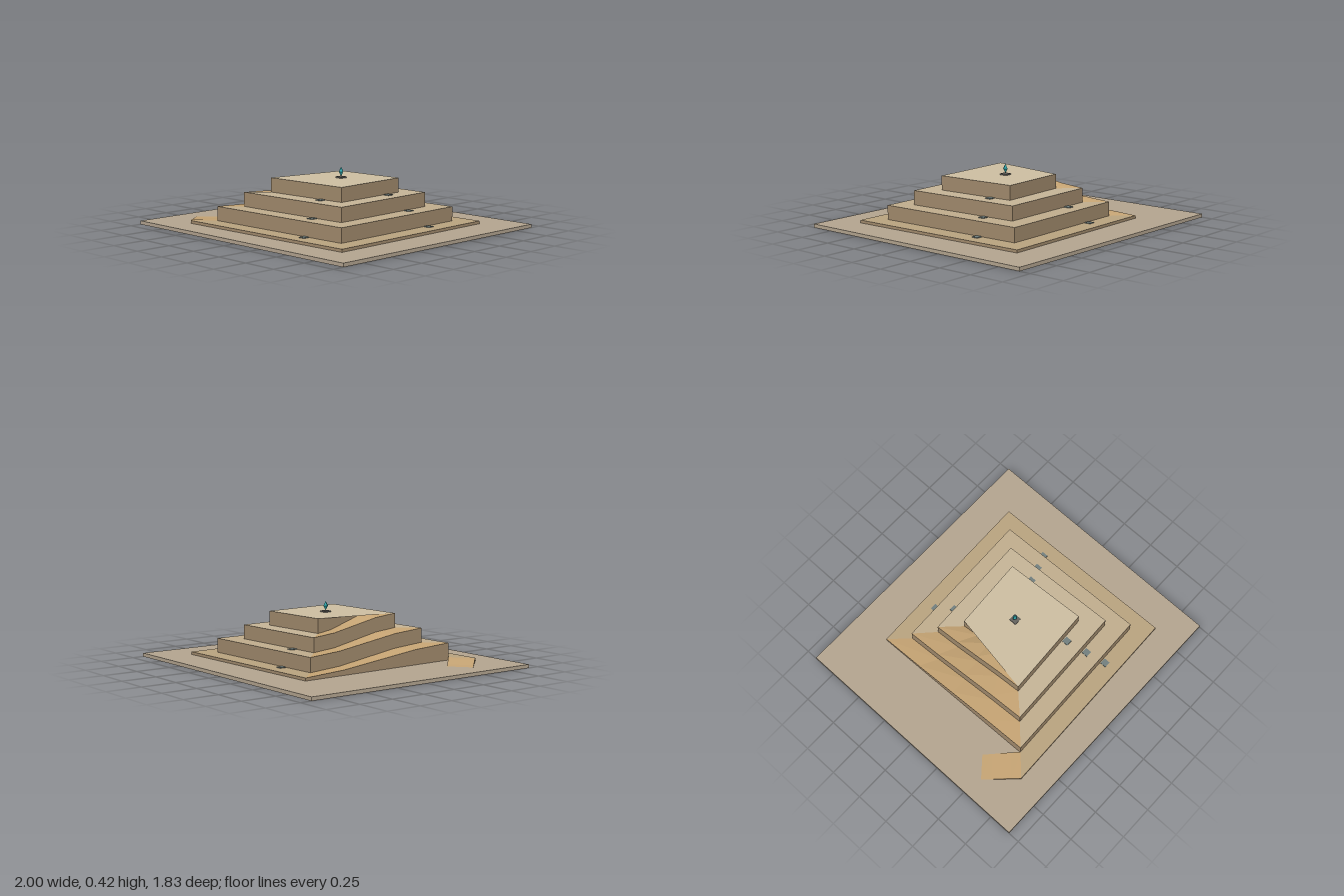
import * as THREE from 'three';

const BASE_TOP = 0.025;
const LEVELS = [0.045, 0.145, 0.245, 0.345];
const LEVEL_COLORS = [0xbba581, 0xc2af8f, 0xc8b698, 0xcfc0a3];
const RAMP_COLOR = 0xc8a675;
const WALL_COLOR = 0xa38c6e;

// Outer edge of the rising square spiral, corner by corner (x, z), from the front right corner
const SPIRAL = [
  [-0.674, 0.73], [0.77, 0.698], [0.738, -0.676], [-0.572, -0.644],
  [-0.54, 0.602], [0.636, 0.57], [0.604, -0.543], [-0.444, -0.511],
  [-0.407, 0.473], [0.508, 0.441], [0.47, -0.41], [-0.31, -0.382],
  [-0.278, 0.34], [0.374, 0.307], [0.342, -0.28], [-0.18, -0.249],
  [-0.15, 0.211],
];

const mat = (color) => new THREE.MeshStandardMaterial({ color, flatShading: true });

function add(parent, name, geometry, color, x = 0, y = 0, z = 0) {
  const mesh = new THREE.Mesh(geometry, mat(color));
  mesh.name = name;
  mesh.position.set(x, y, z);
  parent.add(mesh);
  return mesh;
}

// Polygons with corners counter-clockwise as seen from outside
function polygons(list) {
  const pos = [];
  for (const p of list)
    for (let i = 1; i < p.length - 1; i++) pos.push(...p[0], ...p[i], ...p[i + 1]);
  const g = new THREE.BufferGeometry();
  g.setAttribute('position', new THREE.Float32BufferAttribute(pos, 3));
  g.computeVertexNormals();
  return g;
}

const mix = (a, b, t) => [a[0] + (b[0] - a[0]) * t, a[1] + (b[1] - a[1]) * t];
const at = (p, y) => [p[0], y, p[1]];

// One stretch of path: a walkway between outer and inner edge, and its retaining walls
function stretch(parent, name, outer, inner, y0, y1, color, innerWall = false) {
  const top = [], walls = [];
  const steps = y0 === y1 ? 1 : 4;
  const height = (t) => y0 + (y1 - y0) * t * t * (3 - 2 * t);
  for (let k = 0; k < steps; k++) {
    const t0 = k / steps, t1 = (k + 1) / steps;
    const h0 = height(t0), h1 = height(t1);
    const a = mix(...outer, t0), b = mix(...outer, t1);
    const c = mix(...inner, t1), d = mix(...inner, t0);
    top.push([at(a, h0), at(b, h1), at(c, h1), at(d, h0)]);
    walls.push([at(a, BASE_TOP), at(b, BASE_TOP), at(b, h1), at(a, h0)]);
    if (innerWall) walls.push([at(c, BASE_TOP), at(d, BASE_TOP), at(d, h0), at(c, h1)]);
  }
  add(parent, name, polygons(top), color);
  add(parent, name + 'Wall', polygons(walls), WALL_COLOR);
}

export function createModel() {
  const model = new THREE.Group();
  model.name = 'spiralTerraces';

  // Ground slab
  add(model, 'groundSlab', new THREE.BoxGeometry(2, BASE_TOP, 1.834), 0xb5a691, 0, BASE_TOP / 2, 0);

  // Short ramp from the ground up to the first terrace
  stretch(model, 'entryRamp', [[-0.861, 0.532], SPIRAL[0]], [[-0.727, 0.42], SPIRAL[4]],
    BASE_TOP + 0.001, LEVELS[0], RAMP_COLOR, true);

  // Three flat sides per turn, then a ramp up the -x side
  for (let i = 0; i < 12; i++) {
    const level = Math.floor(i / 4), isRamp = i % 4 === 3;
    stretch(model, isRamp ? 'ramp' : 'terrace',
      [SPIRAL[i], SPIRAL[i + 1]], [SPIRAL[i + 4], SPIRAL[i + 5]],
      LEVELS[level], LEVELS[level + (isRamp ? 1 : 0)],
      isRamp ? RAMP_COLOR : LEVEL_COLORS[level]);
  }

  // Top platform and its walls
  const crown = SPIRAL.slice(12), topY = LEVELS[3];
  add(model, 'topPlatform', polygons([crown.map((p) => at(p, topY))]), LEVEL_COLORS[3]);
  add(model, 'topPlatformWall', polygons(crown.slice(0, -1).map((p, i) => [
    at(p, BASE_TOP), at(crown[i + 1], BASE_TOP), at(crown[i + 1], topY), at(p, topY),
  ])), WALL_COLOR);

  // Small slabs at the foot of the walls: x, z, level
  const slabs = [
    [-0.171, -0.548, 0], [-0.112, -0.414, 1],
    [0.642, -0.254, 0], [0.513, -0.195, 1], [0.38, -0.136, 2],
    [0.332, 0.607, 0], [0.273, 0.479, 1], [0.214, 0.345, 2],
  ];
  for (const [x, z, level] of slabs)
    add(model, 'markerSlab', new THREE.BoxGeometry(0.045, 0.005, 0.045), 0x74817f,
      x, LEVELS[level] + 0.0025, z);

  // Pedestal and crystal at the summit
  add(model, 'pedestal', new THREE.BoxGeometry(0.054, 0.009, 0.054), 0x66645f, 0.063, topY + 0.0045, 0);
  const crystal = add(model, 'crystal', new THREE.OctahedronGeometry(1), 0x2fa3a8, 0.063, 0.388, 0);
  crystal.scale.set(0.02, 0.033, 0.02);

  return model;
}
